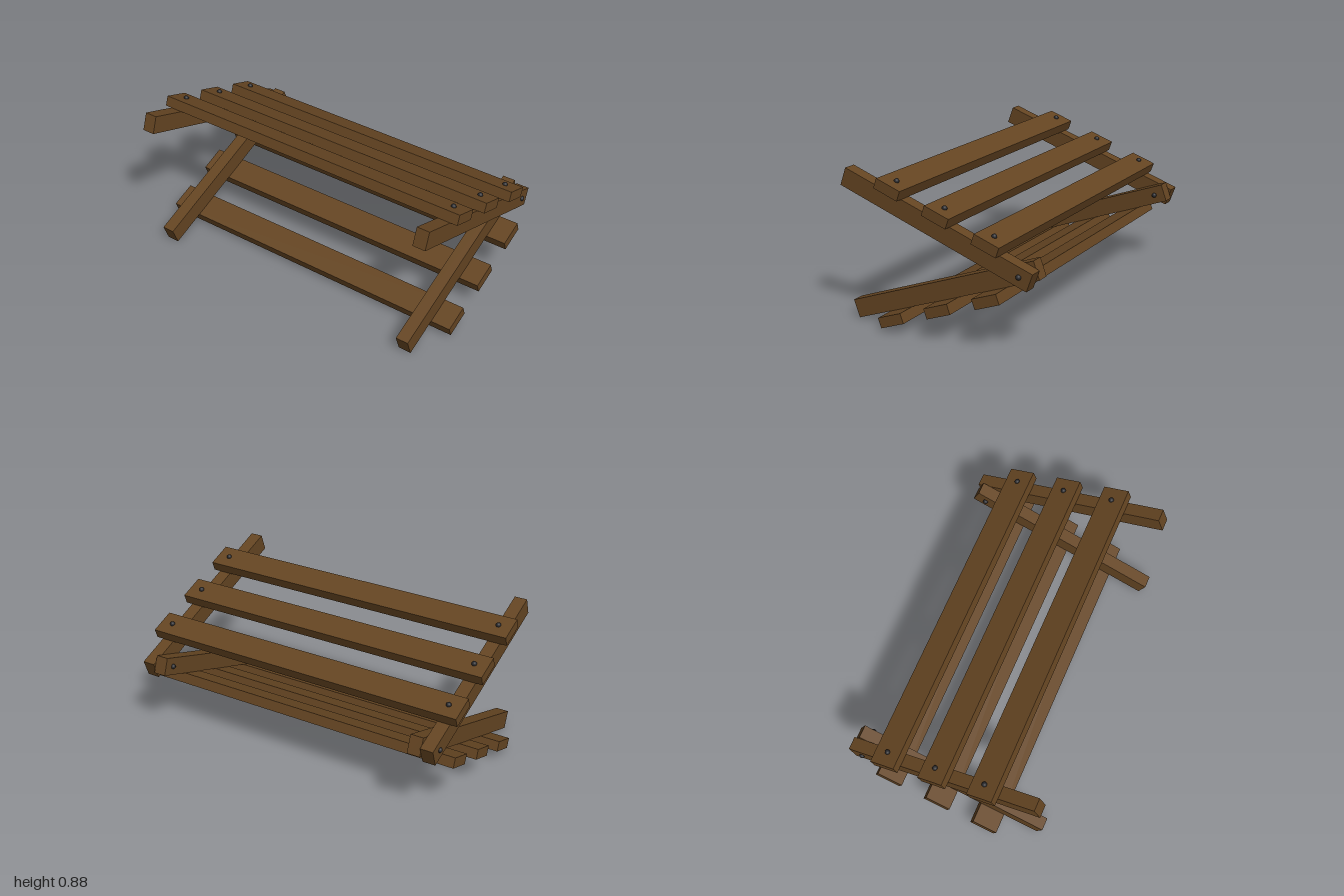
import * as THREE from 'three';

const wood = new THREE.MeshStandardMaterial({ color: 0x654522, flatShading: true });
const metal = new THREE.MeshStandardMaterial({ color: 0x2b2b2e });

const HINGE_Y = 0.445, HINGE_Z = -0.505;
const TILT = THREE.MathUtils.degToRad(20);
const BEAM = { width: 0.076, depth: 0.106, back: -0.067, front: 1.148 };
const SLAT = { length: 2, depth: 0.06, width: 0.156, at: [0.214, 0.531, 0.847] };

function add(parent, name, geometry, material, x, y, z) {
  const mesh = new THREE.Mesh(geometry, material);
  mesh.name = name;
  mesh.position.set(x, y, z);
  parent.add(mesh);
  return mesh;
}

// One slatted frame pivoting at the hinge; side = 1 tilts up, -1 tilts down.
function createFrame(name, side, beamX) {
  const frame = new THREE.Group();
  frame.name = name;
  frame.position.set(0, HINGE_Y, HINGE_Z);
  frame.rotation.x = -side * TILT;

  const beamGeo = new THREE.BoxGeometry(BEAM.width, BEAM.depth, BEAM.front - BEAM.back);
  const slatGeo = new THREE.BoxGeometry(SLAT.length, SLAT.depth, SLAT.width);
  const boltGeo = new THREE.SphereGeometry(0.015, 16, 12);
  const slatY = side * (BEAM.depth + SLAT.depth) / 2;
  const boltY = side * (BEAM.depth / 2 + SLAT.depth + 0.003);

  for (const x of [-beamX, beamX]) {
    add(frame, 'beam', beamGeo, wood, x, 0, (BEAM.front + BEAM.back) / 2);
    for (const z of SLAT.at) add(frame, 'slatBolt', boltGeo, metal, x, boltY, z);
  }
  for (const z of SLAT.at) add(frame, 'slat', slatGeo, wood, 0, slatY, z);
  return frame;
}

export function createModel() {
  const model = new THREE.Group();
  model.name = 'foldingSlattedBench';

  // The upper beams sit just outside the lower ones
  model.add(createFrame('upperFrame', 1, 0.92));
  model.add(createFrame('lowerFrame', -1, 0.844));

  // Hinge pins with rounded ends through each pair of beams
  const pinGeo = new THREE.CapsuleGeometry(0.015, 0.155, 6, 16);
  pinGeo.rotateZ(Math.PI / 2);
  for (const s of [-1, 1]) add(model, 'hingePin', pinGeo, metal, s * 0.881, HINGE_Y, HINGE_Z);

  return model;
}
